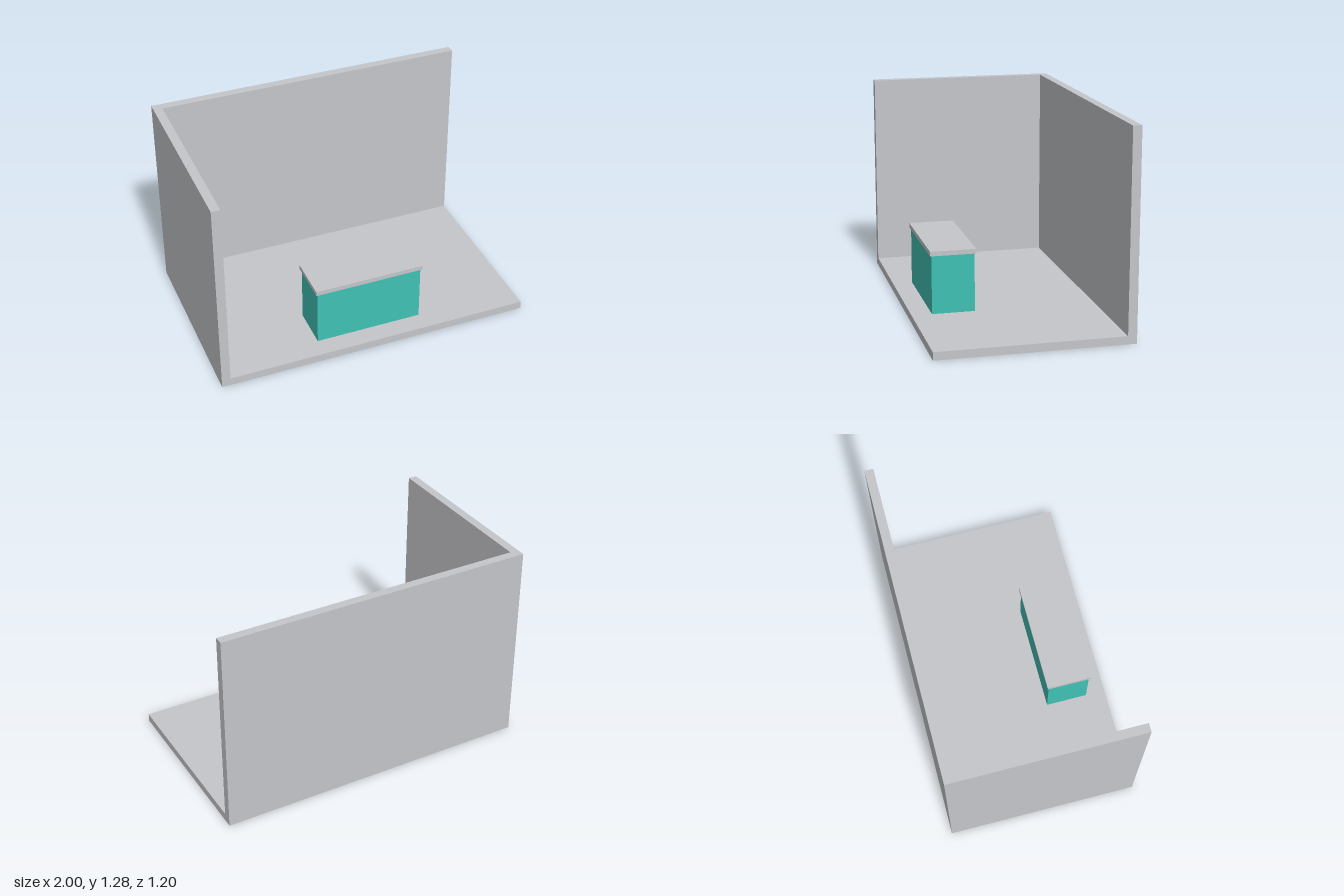
import * as THREE from 'three';

const grey = new THREE.MeshStandardMaterial({ color: 0xc5c6ca });
grey.name = 'pale grey';
const teal = new THREE.MeshStandardMaterial({ color: 0x40c1b3 });
teal.name = 'teal';

const FLOOR = 0.05, WALL = 0.055, HEIGHT = 1.282, DEPTH = 0.6;

// Box given by its low and high corners
function box(name, material, [x0, y0, z0], [x1, y1, z1]) {
  const mesh = new THREE.Mesh(new THREE.BoxGeometry(x1 - x0, y1 - y0, z1 - z0), material);
  mesh.position.set((x0 + x1) / 2, (y0 + y1) / 2, (z0 + z1) / 2);
  mesh.name = name;
  return mesh;
}

export function createModel() {
  const group = new THREE.Group();
  group.name = 'roomWithCounter';

  group.add(box('floor', grey, [-1, 0, -DEPTH], [1, FLOOR, DEPTH]));

  // Side and back walls: one L-shaped plan raised from the floor (shape y is -z)
  const plan = new THREE.Shape([
    [-1, -DEPTH], [-1 + WALL, -DEPTH], [-1 + WALL, DEPTH - WALL],
    [1, DEPTH - WALL], [1, DEPTH], [-1, DEPTH],
  ].map(([x, y]) => new THREE.Vector2(x, y)));
  const wallGeometry = new THREE.ExtrudeGeometry(plan, { depth: HEIGHT - FLOOR, bevelEnabled: false });
  wallGeometry.rotateX(-Math.PI / 2).translate(0, FLOOR, 0);
  const walls = new THREE.Mesh(wallGeometry, grey);
  walls.name = 'walls';
  group.add(walls);

  // Counter with a slightly overhanging top
  const counter = new THREE.Group();
  counter.name = 'counter';
  counter.add(
    box('counterBody', teal, [-0.34, FLOOR, 0.21], [0.34, 0.415, 0.475]),
    box('counterTop', grey, [-0.35, 0.415, 0.2], [0.35, 0.444, 0.485]),
  );
  group.add(counter);

  return group;
}
